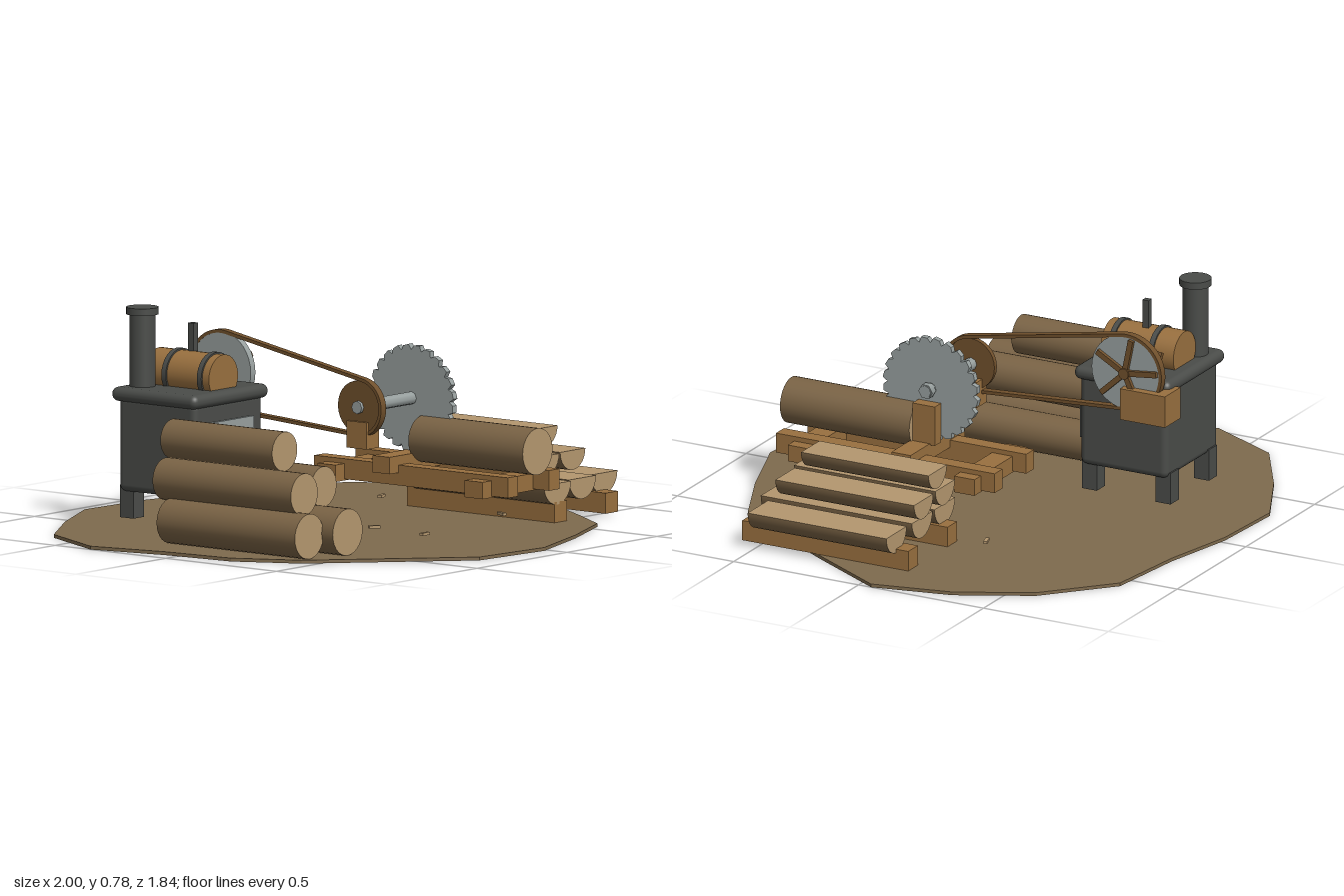
import * as THREE from 'three';
import { RoundedBoxGeometry } from 'three/addons/geometries/RoundedBoxGeometry.js';

export function createModel() {
  const root = new THREE.Group();
  const mat = (name, color) => Object.assign(new THREE.MeshStandardMaterial({ color }), { name });
  const earth = mat('earth', 0x7e6a4d), bark = mat('bark', 0x7a6345), cut = mat('cut wood', 0xb4976f);
  const timber = mat('timber', 0x99703f), iron = mat('dark iron', 0x4a4c49), steel = mat('steel', 0x98a09f);
  const fire = mat('fire', 0xd9742e), leather = mat('leather', 0x70502c);

  const add = (name, geo, material, parent = root) => {
    const m = new THREE.Mesh(geo, material);
    m.name = name;
    parent.add(m);
    return m;
  };
  const group = (name) => {
    const g = new THREE.Group();
    g.name = name;
    root.add(g);
    return g;
  };
  // Boxes given by their limits along each axis
  const box = (name, [x0, x1], [y0, y1], [z0, z1], material, parent, radius = 0) => {
    const s = [x1 - x0, y1 - y0, z1 - z0];
    const g = radius ? new RoundedBoxGeometry(...s, 3, radius) : new THREE.BoxGeometry(...s);
    return add(name, g.translate((x0 + x1) / 2, (y0 + y1) / 2, (z0 + z1) / 2), material, parent);
  };
  // Cylinders lying along z or along x
  const rodZ = (name, x, y, z0, z1, r, material, parent) =>
    add(name, new THREE.CylinderGeometry(r, r, z1 - z0, 28).rotateX(Math.PI / 2)
      .translate(x, y, (z0 + z1) / 2), material, parent);
  const rodX = (name, x0, x1, y, z, r, material, parent, sides = 28) =>
    add(name, new THREE.CylinderGeometry(r, r, x1 - x0, sides).rotateZ(Math.PI / 2)
      .translate((x0 + x1) / 2, y, z), material, parent);

  // Irregular ground slab
  const rim = [[-0.32, -0.92], [-0.02, -0.905], [0.26, -0.845], [0.57, -0.81], [0.8, -0.6], [0.935, -0.34],
    [1, -0.05], [0.84, 0.23], [0.67, 0.51], [0.55, 0.69], [0.28, 0.81], [-0.02, 0.915], [-0.345, 0.885],
    [-0.8, 0.45], [-0.915, 0.225], [-0.94, -0.05], [-1, -0.34], [-0.86, -0.62], [-0.595, -0.785]];
  const ground = new THREE.Shape(rim.map(([x, z]) => new THREE.Vector2(x, -z)));
  add('ground', new THREE.ExtrudeGeometry(ground, { depth: 0.012, bevelEnabled: false })
    .rotateX(-Math.PI / 2), earth);

  // Engine: firebox body, lid and legs
  const engine = group('steamEngine');
  box('fireboxBody', [-0.53, -0.15], [0.13, 0.47], [-0.6, -0.25], iron, engine, 0.025);
  box('fireboxLid', [-0.55, -0.13], [0.45, 0.5], [-0.62, -0.235], iron, engine, 0.024);
  for (const x of [-0.51, -0.23]) for (const z of [-0.605, -0.31])
    box('leg', [x, x + 0.06], [0.035, 0.15], [z, z + 0.06], iron, engine);
  // Fire door with grate
  box('doorFrame', [-0.47, -0.215], [0.175, 0.395], [-0.26, -0.24], steel, engine);
  box('fireOpening', [-0.445, -0.24], [0.22, 0.335], [-0.24, -0.234], fire, engine);
  for (let i = 0; i < 4; i++) {
    const x = -0.415 + i * 0.06;
    box('grateBar', [x - 0.006, x + 0.006], [0.2, 0.34], [-0.222, -0.21], iron, engine);
  }
  // Chimney, boiler drum and valve
  const chimney = [[0, 0.48], [0.046, 0.48], [0.046, 0.755], [0.057, 0.755], [0.057, 0.78], [0, 0.78]];
  for (let i = 1; i < chimney.length - 1; i++) {
    const pair = chimney.slice(i, i + 2).map((p) => new THREE.Vector2(...p));
    add('chimney', new THREE.LatheGeometry(pair, 28).translate(-0.457, 0, -0.547), iron, engine);
  }
  rodZ('boilerDrum', -0.335, 0.54, -0.57, -0.28, 0.081, timber, engine);
  for (const z of [-0.48, -0.32]) rodZ('drumBand', -0.335, 0.54, z - 0.01, z + 0.01, 0.087, iron, engine);
  box('valve', [-0.337, -0.313], [0.6, 0.72], [-0.438, -0.414], iron, engine);

  // Flywheel with spokes and bearing block
  const wy = 0.527, wz = -0.468, sy = 0.45, sz = 0.155;
  const wheel = group('flywheel');
  rodX('wheelDisc', -0.122, -0.096, wy, wz, 0.138, steel, wheel, 36);
  rodX('wheelAxle', -0.16, -0.075, wy, wz, 0.02, leather, wheel);
  for (let i = 0; i < 5; i++) {
    const spoke = add('spoke', new THREE.BoxGeometry(0.014, 0.115, 0.02).translate(0, 0.07, 0), leather, wheel);
    spoke.position.set(-0.087, wy, wz);
    spoke.rotation.x = -0.2 - i * Math.PI * 0.4;
  }
  const lever = add('lever', new THREE.BoxGeometry(0.016, 0.1, 0.02), leather, wheel);
  lever.position.set(-0.15, 0.55, -0.56);
  lever.rotation.z = 0.6;
  box('wheelBlock', [-0.18, -0.065], [0.36, 0.475], [-0.64, -0.46], timber, wheel);

  // Drive belt: a loop tangent to both wheels
  const loop = (R, r, Type) => {
    const s = new Type();
    const dz = sz - wz, dy = sy - wy, len = Math.hypot(dz, dy);
    const dir = Math.atan2(dy, dz), a = Math.acos((R - r) / len);
    s.absarc(wz, wy, R, dir + a, dir - a + 2 * Math.PI, false);
    s.absarc(sz, sy, r, dir - a, dir + a, false);
    s.closePath();
    return s;
  };
  const beltShape = loop(0.142, 0.105, THREE.Shape);
  beltShape.holes.push(loop(0.13, 0.093, THREE.Path));
  add('driveBelt', new THREE.ExtrudeGeometry(beltShape, { depth: 0.028, bevelEnabled: false, curveSegments: 28 })
    .rotateY(-Math.PI / 2).translate(-0.095, 0, 0), leather);

  // Saw shaft, pulley, bearings and toothed blade
  const saw = group('saw');
  rodX('pulley', -0.118, -0.1, sy, sz, 0.094, leather, saw);
  rodX('shaft', -0.13, 0.235, sy, sz, 0.023, steel, saw, 8);
  rodX('shaftCollar', 0.205, 0.232, sy, sz, 0.028, steel, saw, 6);
  box('leftBearing', [0.2, 0.245], [0.26, 0.405], [0.11, 0.2], timber, saw);
  box('rightBearing', [-0.13, -0.06], [0.305, 0.4], [0.11, 0.2], timber, saw);
  const teeth = 24, blade = new THREE.Shape();
  for (let i = 0; i < teeth; i++) {
    [[0, 0.172], [0.25, 0.191], [0.75, 0.187]].forEach(([t, r]) => {
      const a = ((i + t) / teeth) * Math.PI * 2, x = r * Math.cos(a), y = r * Math.sin(a);
      if (i === 0 && t === 0) blade.moveTo(x, y); else blade.lineTo(x, y);
    });
  }
  add('sawBlade', new THREE.ExtrudeGeometry(blade, { depth: 0.022, bevelEnabled: false })
    .rotateY(-Math.PI / 2).translate(0.196, sy, sz), steel, saw);

  // Saw bench: two rails on three ties
  const bench = group('sawBench');
  for (const x of [0.04, 0.27]) box('rail', [x, x + 0.058], [0.16, 0.232], [-0.175, 0.7], timber, bench);
  for (const z of [-0.12, 0.545]) box('tie', [-0.01, 0.375], [0.155, 0.215], [z, z + 0.082], timber, bench);
  box('middleTie', [-0.01, 0.385], [0.205, 0.265], [0.13, 0.207], timber, bench);

  // Whole logs: one on the bench and a stack
  const logs = group('logs');
  const logSkin = [bark, cut, cut];
  const logList = [[0.185, 0.31, 0.083, 0.2, 0.717], [-0.762, 0.092, 0.08, -0.17, 0.455],
    [-0.61, 0.095, 0.083, -0.2, 0.505], [-0.488, 0.083, 0.071, -0.165, 0.41],
    [-0.728, 0.232, 0.075, -0.22, 0.405], [-0.578, 0.24, 0.072, -0.235, 0.37],
    [-0.665, 0.365, 0.07, -0.24, 0.265]];
  for (const [x, y, r, z0, z1] of logList) rodZ('log', x, y, z0, z1, r, logSkin, logs);

  // Split half logs, flat side up, on two bearers
  const planks = group('halfLogs');
  const halfList = [[0.482, 0.15, 0.075, -0.06, 0.565], [0.646, 0.15, 0.075, -0.06, 0.545],
    [0.815, 0.145, 0.074, -0.05, 0.505], [0.525, 0.235, 0.071, -0.085, 0.48],
    [0.69, 0.235, 0.07, -0.09, 0.465], [0.606, 0.32, 0.067, -0.1, 0.41]];
  for (const [x, y, r, z0, z1] of halfList) {
    const len = z1 - z0, z = (z0 + z1) / 2;
    add('halfLog', new THREE.CylinderGeometry(r, r, len, 14, 1, false, -Math.PI / 2, Math.PI)
      .rotateX(Math.PI / 2).translate(x, y, z), logSkin, planks);
    add('sawnFace', new THREE.PlaneGeometry(2 * r, len).rotateX(-Math.PI / 2).translate(x, y, z), cut, planks);
  }
  for (const x of [0.465, 0.75]) box('bearer', [x, x + 0.07], [0.012, 0.085], [-0.1, 0.565], timber, planks);

  // Wood chips on the ground
  [[0.47, -0.22, 0.3], [-0.15, 0.48, 0], [-0.13, 0.235, -0.6], [0.4, 0.38, 1.2]].forEach(([x, z, a]) => {
    const chip = add('woodChip', new THREE.BoxGeometry(0.04, 0.01, 0.014), cut);
    chip.position.set(x, 0.035, z);
    chip.rotation.y = a;
  });
  return root;
}
